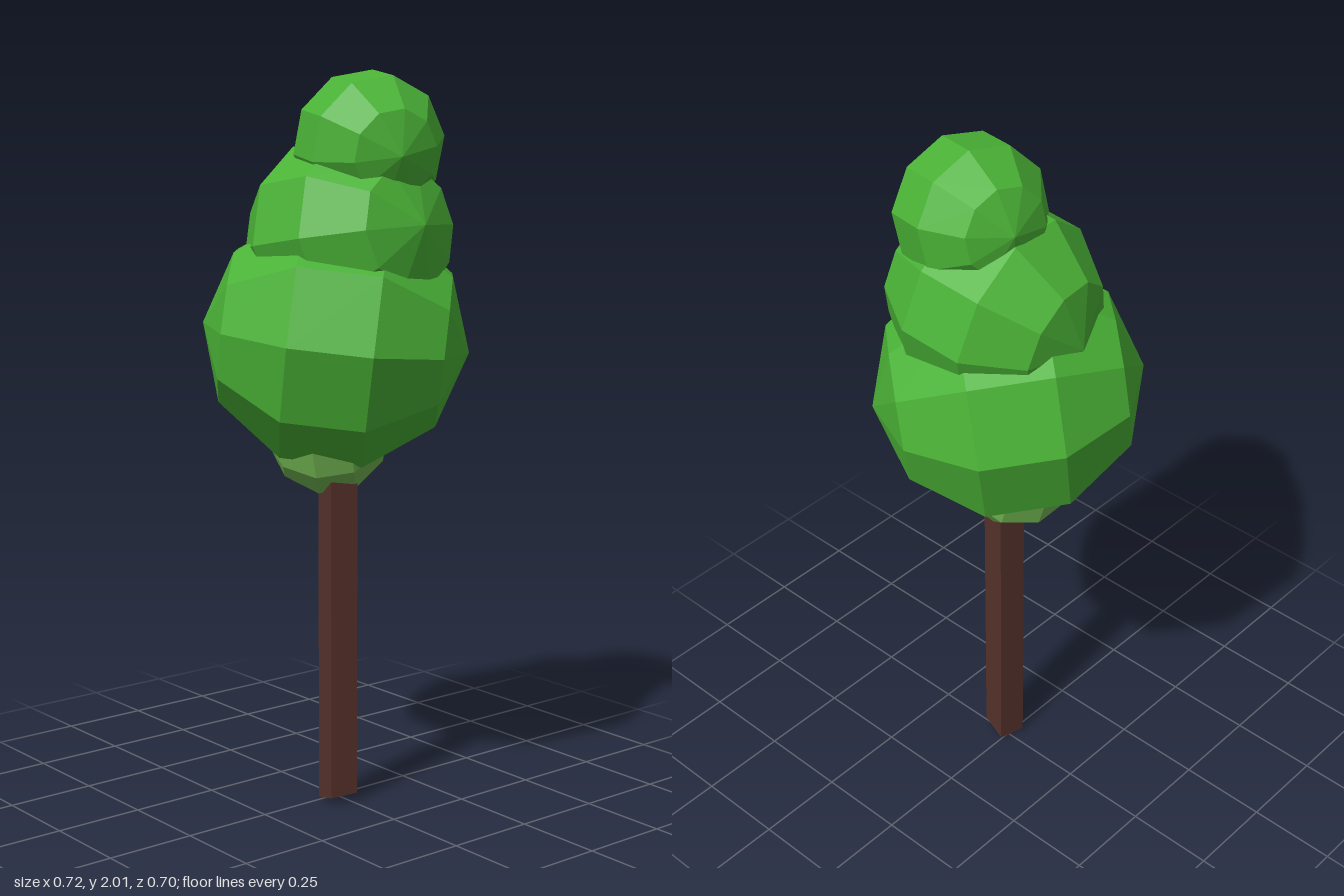
import * as THREE from 'three';

const flat = (name, color) => {
  const m = new THREE.MeshStandardMaterial({ color, flatShading: true });
  m.name = name;
  return m;
};

// Low-poly ball whose poles lie along the given axis, rolled about that axis
function foliageBall(name, material, radius, centre, axis, roll = 0) {
  const geo = new THREE.SphereGeometry(radius, 10, 5);
  geo.rotateY(roll);
  const y = new THREE.Vector3(...axis).normalize();
  const x = new THREE.Vector3(0, 1, 0).cross(y).normalize();
  const z = x.clone().cross(y);
  geo.applyMatrix4(new THREE.Matrix4().makeBasis(x, y, z));
  const mesh = new THREE.Mesh(geo, material);
  mesh.name = name;
  mesh.position.set(...centre);
  return mesh;
}

export function createModel() {
  const leaf = flat('leaf green', 0x4ab236);
  const paleLeaf = flat('pale leaf green', 0x75bb54);
  const bark = flat('bark brown', 0x56312b);
  const tree = new THREE.Group();
  tree.name = 'tree';

  // Square trunk, slightly turned, with a slanted green underside
  const height = 0.96;
  const trunkGeo = new THREE.CylinderGeometry(0.056, 0.056, height, 4, 1, false, 0.557);
  trunkGeo.translate(-0.017, height / 2, 0.03);
  const p = trunkGeo.attributes.position;
  for (let i = 0; i < p.count; i++) {
    if (p.getY(i) < 0.1) p.setY(i, (p.getZ(i) + 0.018) * 0.26);
  }
  const trunk = new THREE.Mesh(trunkGeo, [bark, paleLeaf, paleLeaf]);
  trunk.name = 'trunk';
  tree.add(trunk);

  // Stacked crown, from the small base tuft to the top
  tree.add(
    foliageBall('baseTuft', paleLeaf, 0.167, [-0.01, 1.03, -0.02], [0.8, 0.15, 0.6]),
    foliageBall('lowerFoliage', leaf, 0.362, [0, 1.295, 0], [0.27, -0.04, 0.24]),
    foliageBall('middleFoliage', leaf, 0.283, [0.022, 1.565, 0.027], [0.1, 0.16, 0.98]),
    foliageBall('topFoliage', leaf, 0.202, [0.045, 1.81, 0.084], [-0.05, -0.025, 0.19], 0.17),
  );
  return tree;
}
